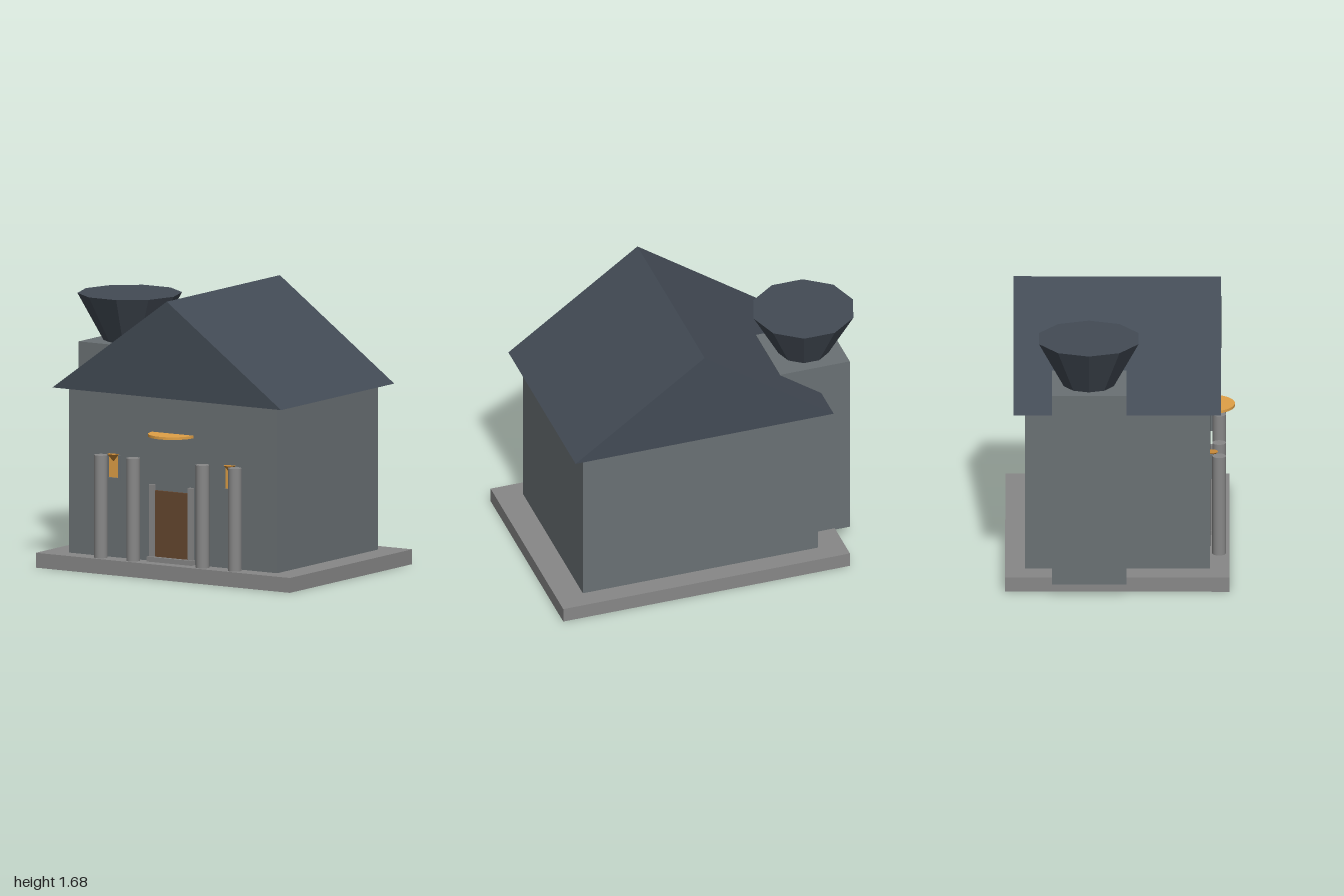
import * as THREE from 'three';

const paint = (color) => new THREE.MeshStandardMaterial({ color });
const flat = (color) => new THREE.MeshStandardMaterial({ color, flatShading: true });

export function createModel() {
  const model = new THREE.Group();
  const stone = paint(0x888888), wall = paint(0x6a7174), slate = flat(0x434b55);
  const wood = paint(0x66472f), amber = paint(0xe0a046);
  const AXIS = 0.09; // symmetry line of the house front

  function add(name, geometry, material, x = 0, y = 0, z = 0) {
    const mesh = new THREE.Mesh(geometry, material);
    mesh.name = name;
    mesh.position.set(x, y, z);
    model.add(mesh);
    return mesh;
  }

  // Box given by its limits on each axis
  function box(name, material, [x0, x1], [y0, y1], [z0, z1]) {
    return add(name, new THREE.BoxGeometry(x1 - x0, y1 - y0, z1 - z0), material,
      (x0 + x1) / 2, (y0 + y1) / 2, (z0 + z1) / 2);
  }

  // Main masses
  box('base', stone, [-0.81, 1], [0, 0.09], [-0.69, 0.65]);
  box('walls', wall, [-0.65, 0.835], [0.09, 1.1], [-0.57, 0.535]);
  box('chimney', wall, [-0.905, -0.465], [0.08, 1.28], [-0.41, 0.035]);

  // Flared ten-sided chimney top
  const cap = add('chimneyCap', new THREE.CylinderGeometry(0.313, 0.157, 0.285, 10), slate, -0.687, 1.4225, -0.19);
  cap.rotation.y = Math.PI / 2;

  // Gabled roof
  const gable = new THREE.Shape([
    new THREE.Vector2(-0.815, 0), new THREE.Vector2(0.815, 0), new THREE.Vector2(0, 0.587),
  ]);
  add('roof', new THREE.ExtrudeGeometry(gable, { depth: 1.24, bevelEnabled: false }), slate, AXIS, 1.09, -0.64);

  // Half-round canopy over the door
  const halfDisc = new THREE.Shape();
  halfDisc.absarc(0, 0, 0.147, 0, Math.PI, false);
  halfDisc.closePath();
  const canopy = add('canopy',
    new THREE.ExtrudeGeometry(halfDisc, { depth: 0.016, bevelEnabled: false, curveSegments: 16 }),
    amber, AXIS, 0.871, 0.535);
  canopy.rotation.x = Math.PI / 2;

  // Doorway
  box('door', wood, [-0.027, 0.207], [0.12, 0.52], [0.53, 0.55]);
  box('doorStep', stone, [-0.07, 0.25], [0.09, 0.12], [0.53, 0.575]);

  for (const side of [-1, 1]) {
    const post = AXIS + side * 0.138;
    box('doorPost', stone, [post - 0.015, post + 0.015], [0.12, 0.555], [0.53, 0.56]);

    // Columns
    for (const offset of [0.247, 0.477]) {
      add('column', new THREE.CylinderGeometry(0.041, 0.041, 0.62, 20), stone, AXIS + side * offset, 0.4, 0.588);
    }

    // Window: pane, frame and a small downward cone lamp
    const wx = AXIS + side * 0.415;
    box('windowPane', amber, [wx - 0.035, wx + 0.035], [0.57, 0.71], [0.53, 0.541]);
    box('windowSill', wall, [wx - 0.047, wx + 0.047], [0.557, 0.572], [0.53, 0.552]);
    for (const edge of [-1, 1]) {
      const fx = wx + edge * 0.041;
      box('windowFrame', wall, [fx - 0.006, fx + 0.006], [0.572, 0.71], [0.53, 0.552]);
    }
    const lamp = add('windowLamp', new THREE.ConeGeometry(0.038, 0.046, 8), flat(0xc98a38), wx, 0.692, 0.545);
    lamp.rotation.x = Math.PI;
  }
  return model;
}
